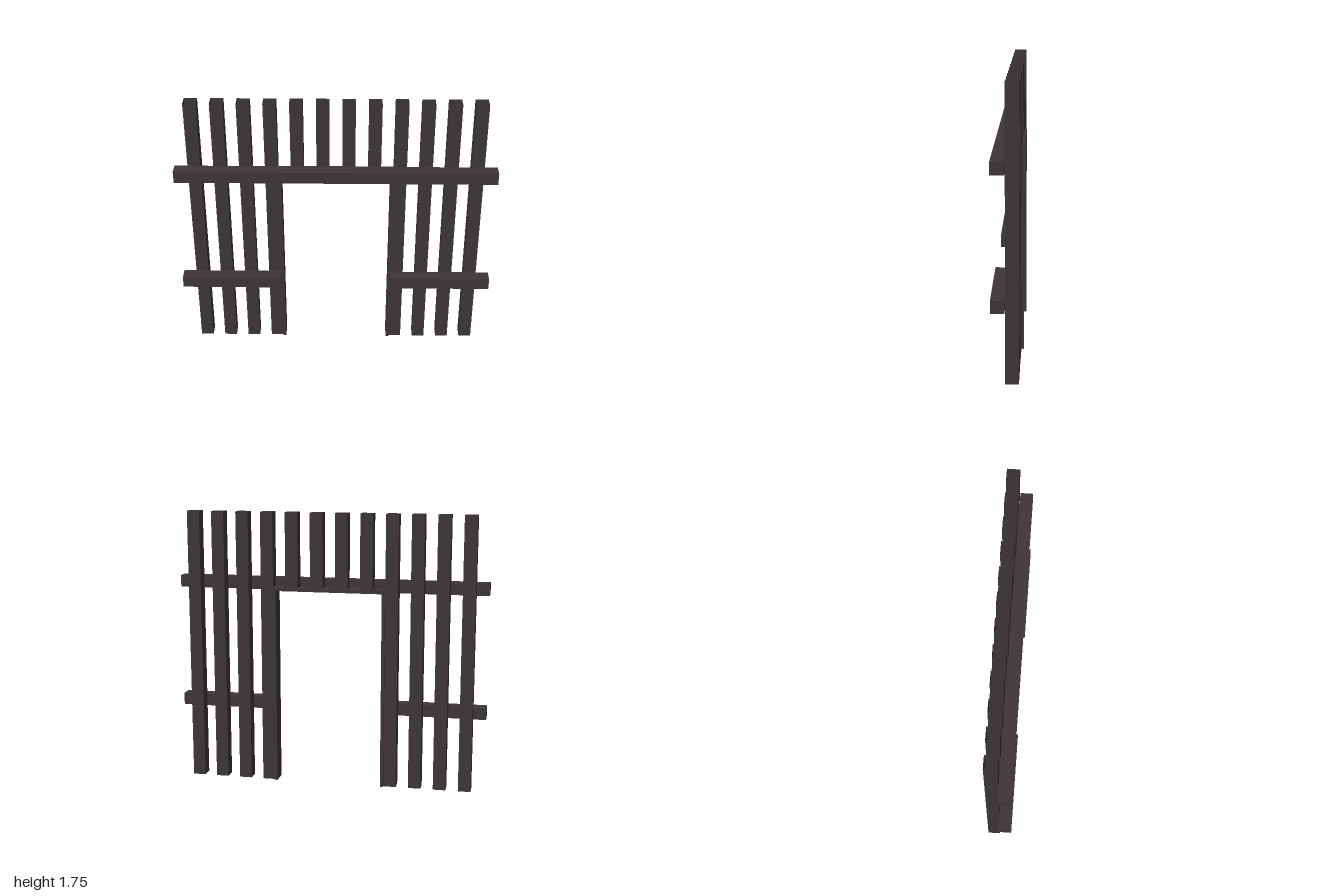
import * as THREE from 'three';

export function createModel() {
  const model = new THREE.Group();
  model.name = 'fenceGate';

  const darkWood = new THREE.MeshStandardMaterial({ color: 0x3e3636, flatShading: true, side: THREE.DoubleSide });
  darkWood.name = 'darkWood';

  const add = (name, geometry, x, y, z) => {
    const mesh = new THREE.Mesh(geometry, darkWood);
    mesh.name = name;
    mesh.position.set(x, y, z);
    model.add(mesh);
  };
  // solid board given by its limits on each axis
  const board = (name, [x0, x1], [y0, y1], [z0, z1]) =>
    add(name, new THREE.BoxGeometry(x1 - x0, y1 - y0, z1 - z0), (x0 + x1) / 2, (y0 + y1) / 2, (z0 + z1) / 2);
  // square hollow slat, open at both ends
  const slat = (name, x, y0, y1) => {
    const r = 0.04 * Math.SQRT2;
    add(name, new THREE.CylinderGeometry(r, r, y1 - y0, 4, 1, true, Math.PI / 4), x, (y0 + y1) / 2, -0.033);
  };

  const top = 1.75, headerTop = 1.275;

  // twelve slats: four long ones on each side, four short ones over the opening
  for (let i = 0; i < 12; i++) {
    const x = -0.88 + i * 0.16;
    const short = Math.abs(x) < 0.3;
    slat(short ? 'shortSlat' : 'longSlat', x, short ? headerTop : 0, top);
  }

  // rails across the front
  const railDepth = [0.007, 0.088];
  board('topRail', [-1, 1], [1.25, 1.326], railDepth);
  board('lowerRailRight', [-1, -0.36], [0.457, 0.533], railDepth);
  board('lowerRailLeft', [0.36, 1], [0.457, 0.533], railDepth);

  // door frame: two thin jambs and a header
  const frameDepth = [-0.088, 0.018];
  board('jambRight', [-0.36, -0.34], [0, 1.255], frameDepth);
  board('jambLeft', [0.34, 0.36], [0, 1.255], frameDepth);
  board('header', [-0.36, 0.36], [1.255, headerTop], frameDepth);

  return model;
}
